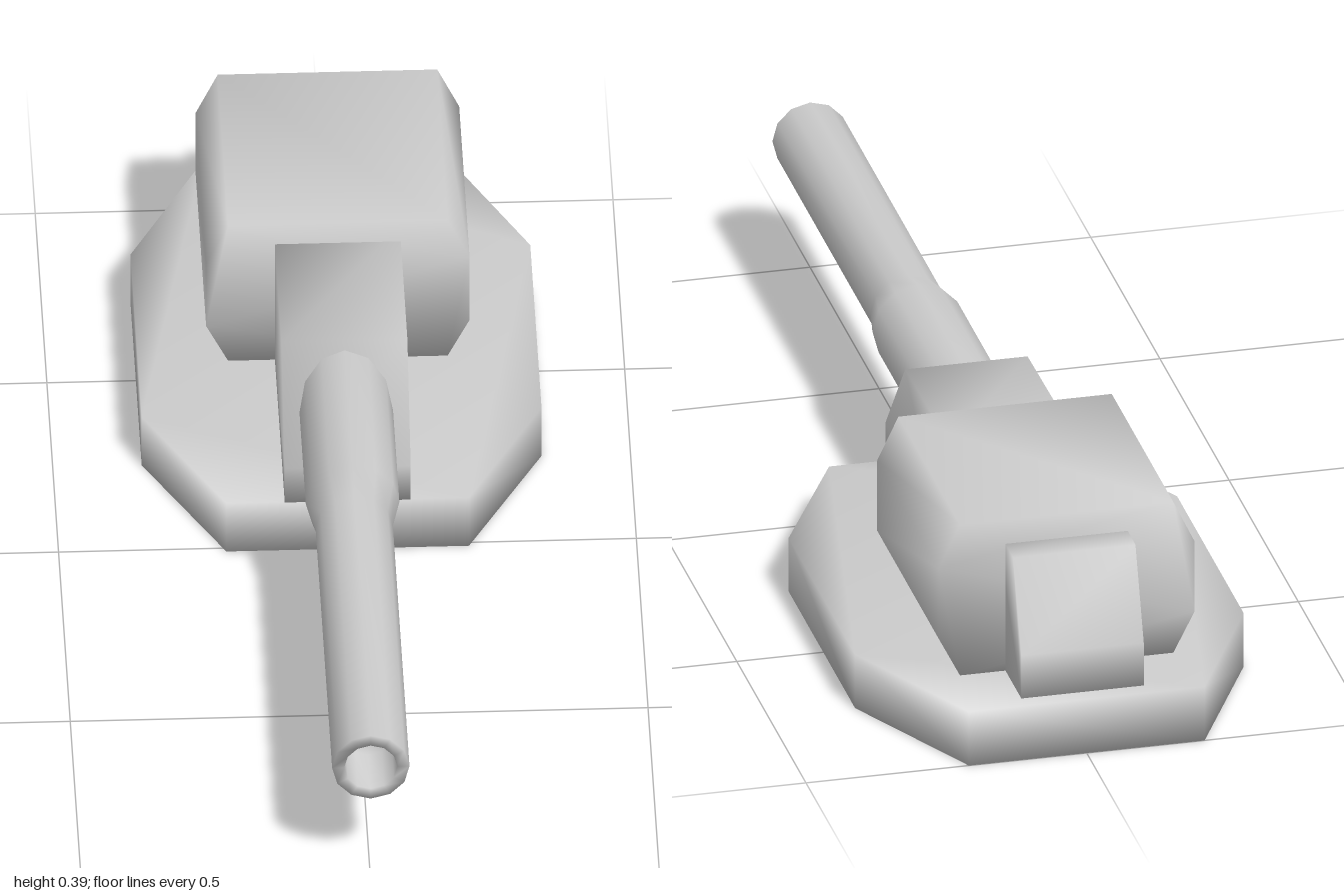
import * as THREE from 'three';
import { mergeVertices } from 'three/addons/utils/BufferGeometryUtils.js';

const material = new THREE.MeshStandardMaterial({ color: 0xcccccc });

// Weld shared corners so the low-poly parts shade smoothly
function weld(geometry) {
  geometry.deleteAttribute('normal');
  geometry.deleteAttribute('uv');
  const welded = mergeVertices(geometry, 1e-4);
  welded.computeVertexNormals();
  return welded;
}

// Straight prism from an outline, centred along its depth
function prism(points, depth) {
  const shape = new THREE.Shape(points.map(([x, y]) => new THREE.Vector2(x, y)));
  const geometry = new THREE.ExtrudeGeometry(shape, { depth, bevelEnabled: false });
  return geometry.translate(0, 0, -depth / 2);
}

// Complete a right-hand outline with its mirror image in x
function mirrored(half) {
  return [...half, ...half.slice().reverse().map(([x, y]) => [-x, y])];
}

export function createModel() {
  const model = new THREE.Group();
  const add = (name, geometry) => {
    const mesh = new THREE.Mesh(weld(geometry), material);
    mesh.name = name;
    model.add(mesh);
  };

  // Elongated octagonal base plate
  const base = prism(mirrored([[0.21, -0.01], [0.346, 0.25], [0.346, 0.73], [0.21, 1]]), 0.103);
  add('basePlate', base.rotateX(-Math.PI / 2).translate(0, 0.0515, 0));

  // Main housing with chamfered long edges
  const housing = prism(mirrored([[0.19, 0.103], [0.228, 0.178], [0.228, 0.312], [0.19, 0.392]]), 0.445);
  add('housing', housing.translate(0, 0, -0.6325));

  // Narrow blocks: sloped gun mount in front, counterweight behind (z, y profiles)
  const blocks = {
    gunMount: [[-0.45, 0.103], [0.012, 0.103], [0.012, 0.175], [-0.13, 0.343], [-0.45, 0.35]],
    counterweight: [[-0.97, 0.103], [-0.8, 0.103], [-0.8, 0.347], [-0.91, 0.345], [-0.97, 0.185]],
  };
  for (const [name, profile] of Object.entries(blocks)) {
    add(name, prism(profile, 0.218).rotateY(-Math.PI / 2));
  }

  // Twelve-sided stepped barrel with a hollow muzzle (radius, z)
  const barrelProfile = [[0, -0.3], [0.081, -0.3], [0.081, 0.22], [0.067, 0.29], [0.067, 1],
    [0.046, 1], [0.046, 0.9], [0, 0.9]].map(([r, z]) => new THREE.Vector2(r, z));
  const barrel = new THREE.LatheGeometry(barrelProfile, 12);
  add('barrel', barrel.rotateX(Math.PI / 2).translate(0, 0.249, 0));

  return model;
}
